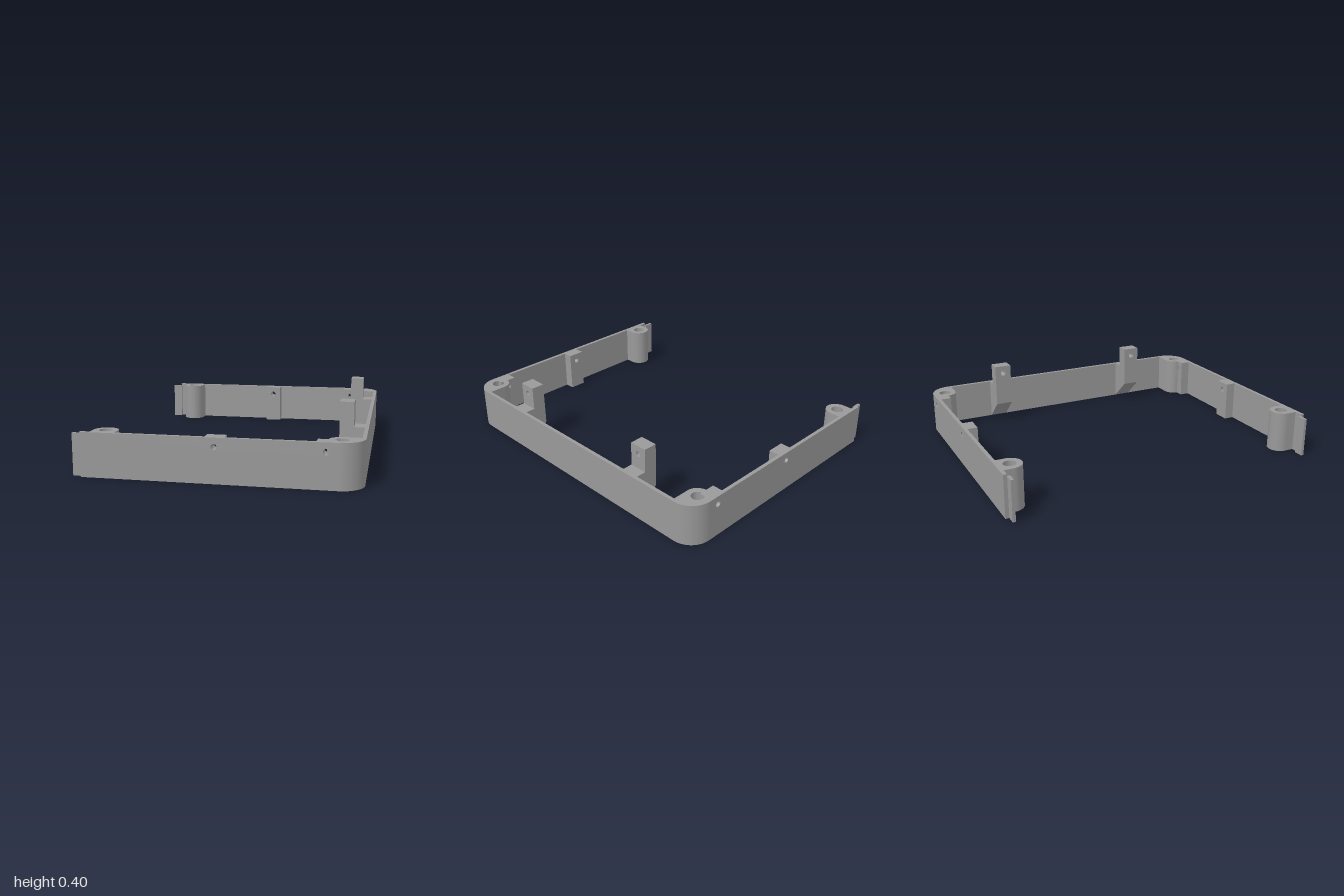
import * as THREE from 'three';
import { toCreasedNormals } from 'three/addons/utils/BufferGeometryUtils.js';

const H = 0.257;      // wall height
const INNER = 0.978;  // inner face of the side walls
const HOLE_Y = 0.205; // screw hole height in the side walls

export function createModel() {
  const model = new THREE.Group();
  const grey = new THREE.MeshStandardMaterial({ color: 0x999999 });
  grey.name = 'plain grey';

  const add = (name, geometry, parent = model) => {
    const mesh = new THREE.Mesh(toCreasedNormals(geometry, 0.5), grey);
    mesh.name = name;
    parent.add(mesh);
  };
  const extrude = (shape, depth) =>
    new THREE.ExtrudeGeometry(shape, { depth, bevelEnabled: false, curveSegments: 24 });
  const box = (name, x0, x1, y0, y1, z0, z1, parent) =>
    add(name, new THREE.BoxGeometry(x1 - x0, y1 - y0, Math.abs(z1 - z0))
      .translate((x0 + x1) / 2, (y0 + y1) / 2, (z0 + z1) / 2), parent);
  const circle = (x, y, r) => new THREE.Path().absarc(x, y, r, 0, Math.PI * 2, true);
  const rect = (x0, x1, y0, y1) => new THREE.Shape([
    new THREE.Vector2(x0, y0), new THREE.Vector2(x1, y0),
    new THREE.Vector2(x1, y1), new THREE.Vector2(x0, y1)]);

  // Upright plate in x and y with screw holes through it, on side s
  const drilledPlate = (name, x0, x1, d0, d1, holes, s, parent) => {
    const shape = rect(x0, x1, 0, H);
    holes.forEach(x => shape.holes.push(circle(x, HOLE_Y, 0.017)));
    add(name, extrude(shape, d1 - d0).translate(0, 0, s > 0 ? d0 : -d1), parent);
  };

  // Post from a plan outline (x, distance from middle), with a stepped bore
  const boredPost = (name, outline, cx, cd, s, parent) => {
    const group = new THREE.Group();
    group.name = name;
    parent.add(group);
    [[0, 0.12, 0.055], [0.12, 0.18, 0.022], [0.18, H, 0.037]].forEach(([y0, y1, r]) => {
      const shape = outline();
      shape.holes.push(circle(cx, cd, r));
      add('postSection', extrude(shape, y1 - y0)
        .rotateX(s * Math.PI / 2).translate(0, s > 0 ? y1 : y0, 0), group);
    });
  };

  // Rounded post against the side wall
  const endOutline = () => new THREE.Shape()
    .moveTo(-0.702, INNER).lineTo(-0.702, 0.92)
    .absarc(-0.63, 0.92, 0.072, Math.PI, Math.PI * 2, false)
    .lineTo(-0.558, INNER);

  // Filled corner with a rounded outer edge
  const cornerOutline = () => new THREE.Shape()
    .moveTo(0.613, INNER).lineTo(0.613, 0.92)
    .absarc(0.685, 0.92, 0.072, Math.PI, Math.PI * 1.5, false)
    .lineTo(0.81, 0.848).lineTo(0.81, 0.865)
    .absarc(0.675, 0.865, 0.135, 0, Math.PI / 2, false)
    .lineTo(0.675, INNER);

  // Long wall joining the two corners
  box('endWall', 0.788, 0.81, 0, H, -0.848, 0.848);

  for (const s of [1, -1]) {
    const side = new THREE.Group();
    side.name = s > 0 ? 'frontSide' : 'backSide';
    model.add(side);

    drilledPlate('sideWall', -0.755, 0.675, INNER, 1, [0.01, 0.61], s, side);
    drilledPlate('middleBlock', -0.045, 0.065, 0.915, INNER, [0.01], s, side);
    drilledPlate('cornerBlock', 0.557, 0.662, 0.915, INNER, [0.61], s, side);
    box('joiningLip', -0.81, -0.75, 0, 0.245, s * 0.96, s * INNER, side);
    boredPost('endPost', endOutline, -0.63, 0.92, s, side);
    boredPost('cornerPost', cornerOutline, 0.685, 0.92, s, side);

    // Bracket on the end wall with a sloped underside
    const bracket = new THREE.Shape([[0.643, 0.13], [0.788, 0], [0.788, H], [0.643, H]]
      .map(([x, y]) => new THREE.Vector2(x, y)));
    add('bracketBase', extrude(bracket, 0.11).translate(0, 0, s * 0.51 - 0.055), side);

    // Raised tab with a hole through it along x
    const tab = rect(-0.055, 0.055, H, 0.402);
    tab.holes.push(circle(0, 0.35, 0.017));
    add('bracketTab', extrude(tab, 0.083).rotateY(Math.PI / 2)
      .translate(0.643, 0, s * 0.51), side);
  }
  return model;
}
